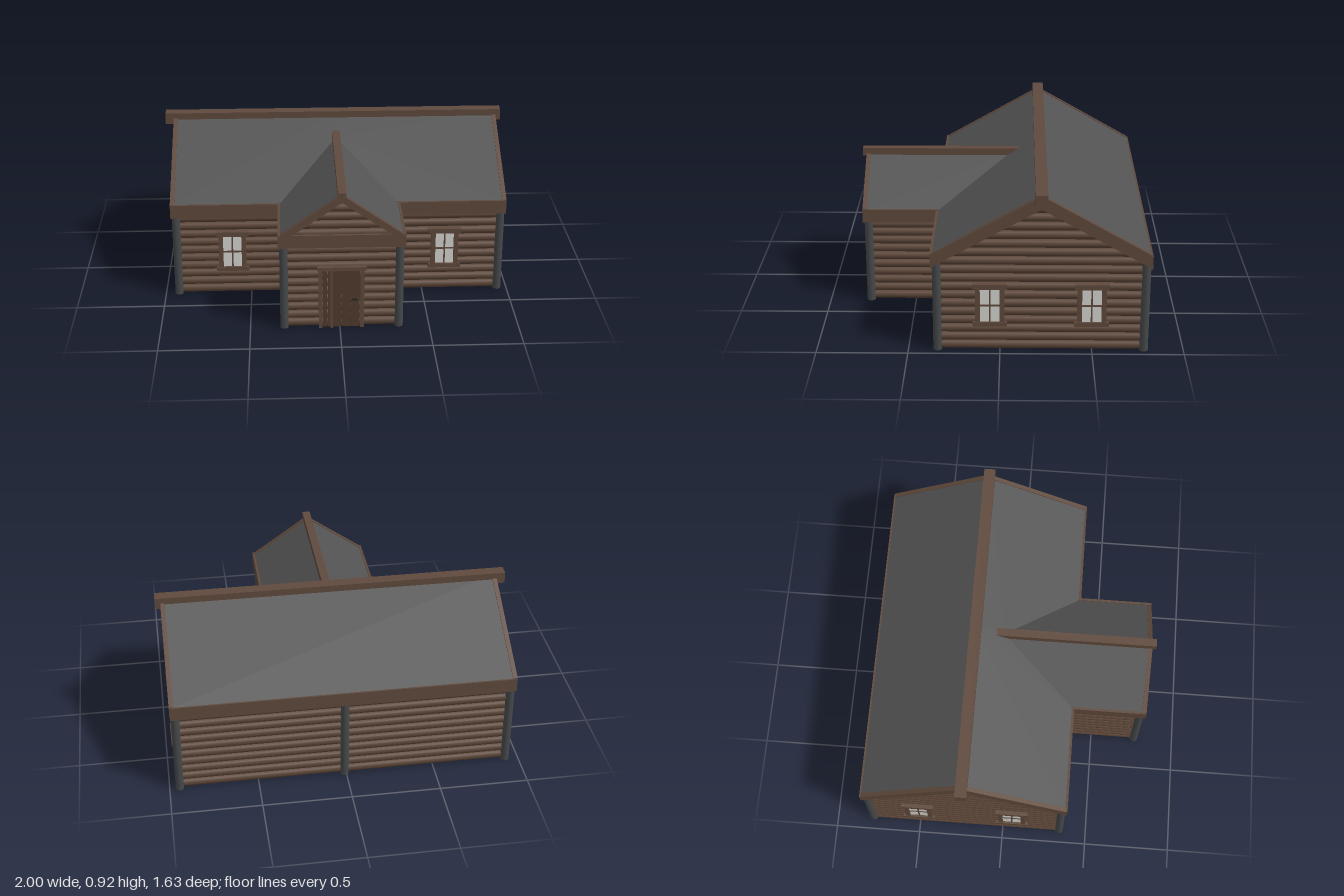
import * as THREE from 'three';
import { mergeGeometries } from 'three/addons/utils/BufferGeometryUtils.js';

const mat = (name, color, side = THREE.DoubleSide) => {
  const m = new THREE.MeshStandardMaterial({ color, side });
  m.name = name;
  return m;
};

export function createModel() {
  const model = new THREE.Group();
  model.name = 'logCabin';
  const house = new THREE.Group();
  house.name = 'house';
  house.position.x = 0.01;
  model.add(house);

  const logWood = mat('log wood', 0x5c4537);
  const trimWood = mat('trim wood', 0x5f493c);
  const doorWood = mat('door wood', 0x503a2e);
  const roofGrey = mat('roof grey', 0x525252);
  const postGrey = mat('post grey', 0x45484a);
  const glass = mat('window glass', 0xd6d6d2);
  const iron = mat('dark iron', 0x2a2522);

  const add = (parent, name, geo, material, x = 0, y = 0, z = 0) => {
    const m = new THREE.Mesh(geo, material);
    m.name = name;
    m.position.set(x, y, z);
    parent.add(m);
    return m;
  };
  const box = (parent, name, material, w, h, d, x, y, z) =>
    add(parent, name, new THREE.BoxGeometry(w, h, d), material, x, y, z);

  // Roof proportions shared by walls, trims and panels
  const MAIN = { mid: -0.22, half: 0.587, eave: 0.568, ridge: 0.903 };
  const WING = { half: 0.343, eave: 0.568, ridge: 0.81 };
  const PITCH = 0.05, BULGE = 0.026;

  // Half-round logs on a flat backing wall, facing local +z; a roof makes it a gable
  function logWall(name, width, x, z, turn, roof) {
    const wall = new THREE.Group();
    wall.name = name;
    wall.position.set(x, 0, z);
    wall.rotation.y = turn;
    house.add(wall);
    const half = width / 2;
    const slope = roof ? (roof.ridge - roof.eave) / roof.half : 0;
    const top = roof ? roof.ridge - half * slope - 0.01 : 0.56;
    const outline = [[-half, 0], [half, 0], [half, top]];
    if (roof) outline.push([0, roof.ridge - 0.01]);
    outline.push([-half, top]);
    const backing = new THREE.ShapeGeometry(new THREE.Shape(outline.map(p => new THREE.Vector2(...p))));
    add(wall, 'wallBacking', backing, logWood);
    const logs = [];
    const limit = roof ? roof.ridge - 0.04 : 0.55;
    for (let y = PITCH / 2; y < limit; y += PITCH) {
      const len = roof ? Math.min(width, 2 * (roof.ridge - 0.025 - y) / slope) : width;
      const g = new THREE.CylinderGeometry(1, 1, 1, 8, 1, true, -Math.PI / 2, Math.PI);
      g.rotateZ(Math.PI / 2);
      g.scale(len, PITCH / 2, BULGE);
      g.translate(0, y, 0);
      logs.push(g);
    }
    add(wall, 'logs', mergeGeometries(logs), logWood);
    return wall;
  }

  // Four-pane window with lintel, sill and jambs
  function addWindow(wall, x) {
    const w = new THREE.Group();
    w.name = 'window';
    w.position.set(x, 0.27, 0.012);
    wall.add(w);
    box(w, 'windowPane', glass, 0.11, 0.2, 0.036, 0, 0, 0);
    for (const s of [-1, 1]) box(w, 'windowJamb', trimWood, 0.026, 0.22, 0.056, s * 0.066, 0, 0);
    box(w, 'windowLintel', trimWood, 0.188, 0.028, 0.062, 0, 0.113, 0);
    box(w, 'windowSill', trimWood, 0.188, 0.024, 0.062, 0, -0.108, 0);
    box(w, 'windowMullion', trimWood, 0.009, 0.2, 0.044, 0, 0, 0);
    box(w, 'windowCrossbar', trimWood, 0.11, 0.009, 0.044, 0, 0, 0);
  }

  // Walls
  logWall('backWall', 1.84, 0, -0.76, Math.PI);
  for (const s of [-1, 1]) {
    const front = logWall(s > 0 ? 'frontWallLeft' : 'frontWallRight', 0.62, s * 0.61, 0.32, 0);
    addWindow(front, s * 0.005);
    const gable = logWall(s > 0 ? 'gableWallLeft' : 'gableWallRight', 1.08, s * 0.917, MAIN.mid, s * Math.PI / 2, MAIN);
    addWindow(gable, -0.275);
    addWindow(gable, 0.275);
    logWall(s > 0 ? 'wingWallLeft' : 'wingWallRight', 0.43, s * 0.3, 0.535, s * Math.PI / 2);
  }
  const wingFront = logWall('wingFrontWall', 0.6, 0, 0.745, 0, WING);

  // Plank door with frame
  const door = new THREE.Group();
  door.name = 'door';
  wingFront.add(door);
  for (let i = 0; i < 3; i++)
    box(door, 'doorPlank', doorWood, 0.049, 0.35, 0.05, -0.025 + i * 0.05, 0.18, 0.009);
  for (let i = 0; i < 2; i++)
    box(door, 'sidePlank', doorWood, 0.024, 0.35, 0.044, -0.093 + i * 0.028, 0.18, 0.01);
  box(door, 'doorJamb', trimWood, 0.02, 0.36, 0.062, -0.118, 0.18, 0.01);
  box(door, 'doorJamb', trimWood, 0.014, 0.36, 0.062, -0.055, 0.18, 0.01);
  box(door, 'doorJamb', trimWood, 0.022, 0.36, 0.062, 0.113, 0.18, 0.01);
  box(door, 'doorLintel', trimWood, 0.275, 0.022, 0.068, 0, 0.369, 0.012);
  box(door, 'doorHandle', iron, 0.035, 0.009, 0.012, 0.07, 0.177, 0.039);

  // Posts at every corner and mid-back
  const posts = [[0, -0.783]];
  for (const s of [-1, 1]) posts.push([s * 0.933, -0.783], [s * 0.933, 0.34], [s * 0.32, 0.34], [s * 0.32, 0.763]);
  for (const [x, z] of posts)
    add(house, 'post', new THREE.CylinderGeometry(0.024, 0.024, 0.54, 10), postGrey, x, 0.27, z);

  // Flat convex roof panel from a loop of corners
  function panel(name, pts) {
    const idx = [];
    for (let i = 1; i < pts.length - 1; i++) idx.push(0, i, i + 1);
    const g = new THREE.BufferGeometry();
    g.setAttribute('position', new THREE.Float32BufferAttribute(pts.flat(), 3));
    g.setIndex(idx);
    g.computeVertexNormals();
    add(house, name, g, roofGrey);
  }
  const X = 0.955, zf = MAIN.mid + MAIN.half, zb = MAIN.mid - MAIN.half;
  const { eave, ridge } = MAIN;
  const valleyZ = MAIN.mid + MAIN.half * (ridge - WING.ridge) / (ridge - eave);
  panel('roofBack', [[X, eave, zb], [-X, eave, zb], [-X, ridge, MAIN.mid], [X, ridge, MAIN.mid]]);
  for (const s of [1, -1]) {
    // corners run counter-clockwise seen from above on both sides
    const order = pts => (s > 0 ? pts : pts.reverse());
    const valleyTop = [0, WING.ridge, valleyZ], valleyFoot = [s * WING.half, eave, zf];
    panel('roofFront', order([valleyTop, valleyFoot, [s * X, eave, zf], [s * X, ridge, MAIN.mid], [0, ridge, MAIN.mid]]));
    panel('wingRoof', order([valleyTop, [0, WING.ridge, 0.79], [s * WING.half, eave, 0.79], valleyFoot]));
  }

  // Chevron boards along the gable edges
  function rake(name, r, t, x, z, turn) {
    const pts = [[-r.half, r.eave], [-r.half, r.eave - t], [0, r.ridge - t], [r.half, r.eave - t], [r.half, r.eave], [0, r.ridge]];
    const g = new THREE.ExtrudeGeometry(new THREE.Shape(pts.map(p => new THREE.Vector2(...p))), { depth: 0.025, bevelEnabled: false });
    add(house, name, g, trimWood, x, 0.006, z).rotation.y = turn;
  }
  rake('gableTrim', MAIN, 0.075, 0.937, MAIN.mid, Math.PI / 2);
  rake('gableTrim', MAIN, 0.075, -0.937, MAIN.mid, -Math.PI / 2);
  rake('wingGableTrim', WING, 0.045, 0, 0.77, 0);

  // Eave boards
  box(house, 'backEaveBoard', trimWood, 1.92, 0.08, 0.014, 0, 0.53, zb);
  box(house, 'wingFrontBoard', trimWood, 0.686, 0.075, 0.016, 0, 0.54, 0.786);
  for (const s of [-1, 1]) {
    box(house, 'frontEaveBoard', trimWood, 0.617, 0.08, 0.014, s * 0.6515, 0.536, zf);
    box(house, 'wingEaveBoard', trimWood, 0.014, 0.078, 0.435, s * WING.half, 0.539, 0.577);
  }

  // Ridge beams
  box(house, 'mainRidgeBeam', trimWood, 2, 0.066, 0.066, -0.01, 0.89, MAIN.mid);
  box(house, 'wingRidgeBeam', trimWood, 0.046, 0.046, 0.945, 0, 0.812, 0.343);

  return model;
}
